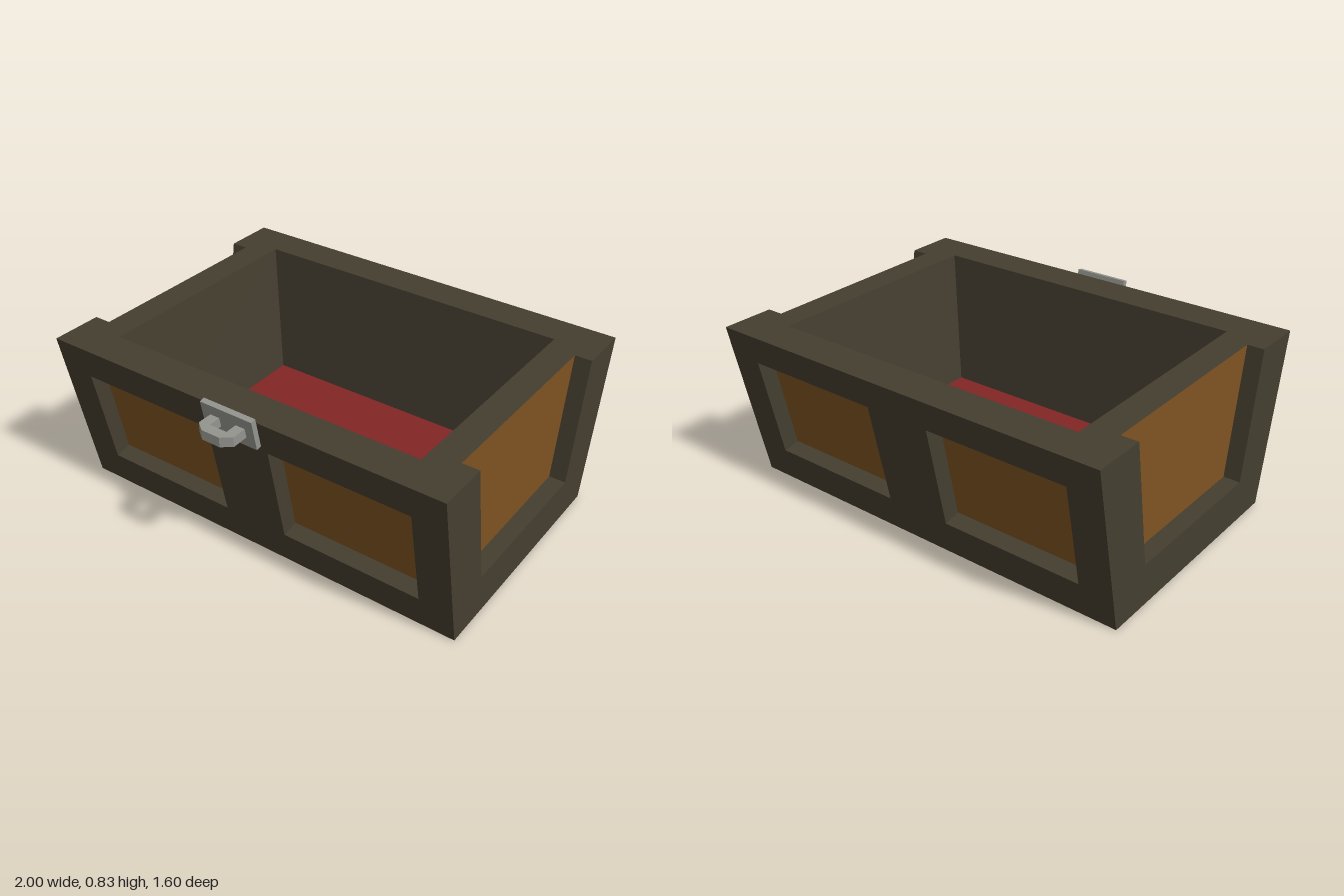
import * as THREE from 'three';

const material = (name, color, side = THREE.FrontSide) => {
  const m = new THREE.MeshStandardMaterial({ color, side });
  m.name = name;
  return m;
};
const V = (x, y, z) => new THREE.Vector3(x, y, z);

// Pushes a four-cornered face, turned so that it looks along `facing`
function quad(list, corners, facing) {
  let [a, b, c, d] = corners;
  const n = b.clone().sub(a).cross(c.clone().sub(a));
  if (n.dot(facing) < 0) [b, d] = [d, b];
  for (const p of [a, b, c, a, c, d]) list.push(p.x, p.y, p.z);
}

function facesMesh(name, list, mat) {
  const g = new THREE.BufferGeometry();
  g.setAttribute('position', new THREE.Float32BufferAttribute(list, 3));
  g.computeVertexNormals();
  const mesh = new THREE.Mesh(g, mat);
  mesh.name = name;
  return mesh;
}

const FRONT = { sign: 1, z0: 0.52, z1: 0.675, top: 0.81 };
const BACK = { sign: -1, z0: -0.64, z1: -0.8, top: 0.795 };
const DEPTH = 0.08;

// Height of the slightly sloping rim
const rimY = z => BACK.top + (FRONT.top - BACK.top) * (z - BACK.z1) / (FRONT.z1 - BACK.z1);

// Leaning front or back wall with two sunken panels
function longWall(w, frame, panel) {
  const lean = Math.atan2(Math.abs(w.z1 - w.z0), w.top);
  const normal = V(0, -Math.sin(lean), w.sign * Math.cos(lean));
  const at = (x, y, depth = 0) =>
    V(x, y, w.z0 + (w.z1 - w.z0) * y / w.top).addScaledVector(normal, -depth);
  const xs = [-1, -0.84, -0.16, 0.16, 0.84, 1], ys = [0, 0.165, 0.655, w.top];
  for (let i = 0; i < 5; i++) for (let j = 0; j < 3; j++) {
    const cell = [[xs[i], ys[j]], [xs[i + 1], ys[j]], [xs[i + 1], ys[j + 1]], [xs[i], ys[j + 1]]];
    if (j !== 1 || i % 2 === 0) {
      quad(frame, cell.map(p => at(...p)), normal);
      continue;
    }
    quad(panel, cell.map(p => at(...p, DEPTH)), normal);
    const middle = at((xs[i] + xs[i + 1]) / 2, (ys[1] + ys[2]) / 2, DEPTH / 2);
    cell.forEach((p, k) => {
      const q = cell[(k + 1) % 4];
      quad(frame, [at(...p), at(...q), at(...q, DEPTH), at(...p, DEPTH)], middle.clone().sub(at(...p)));
    });
  }
}

// Upright end wall with a sunken panel that is open at the top
function endWall(s, frame, panel) {
  const out = V(s, 0, 0);
  const at = (p, x) => V(s * x, p[1], p[0]);
  const f0 = [FRONT.z0, 0], f1 = [FRONT.z1, FRONT.top], b0 = [BACK.z0, 0], b1 = [BACK.z1, BACK.top];
  const nf0 = [0.33, 0.2], nf1 = [0.43, rimY(0.43)], nb0 = [-0.45, 0.2], nb1 = [-0.55, rimY(-0.55)];
  for (const face of [[f0, f1, nf1, nf0], [b0, b1, nb1, nb0], [f0, b0, nb0, nf0]])
    quad(frame, face.map(p => at(p, 1)), out);
  for (const [p, q, dir] of [[nf0, nf1, V(0, 0, -1)], [nb0, nb1, V(0, 0, 1)], [nf0, nb0, V(0, 1, 0)]])
    quad(frame, [at(p, 1), at(q, 1), at(q, 1 - DEPTH), at(p, 1 - DEPTH)], dir);
  quad(panel, [nf0, nf1, nb1, nb0].map(p => at(p, 1 - DEPTH)), out);
}

// Flat rim with side notches and the inner opening
function rim(mat) {
  const half = [[1, FRONT.z1], [1, 0.43], [1 - DEPTH, 0.43], [1 - DEPTH, -0.55], [1, -0.55], [1, BACK.z1]];
  const outline = [...half, ...half.map(([x, z]) => [-x, z]).reverse()];
  const shape = new THREE.Shape(outline.map(([x, z]) => new THREE.Vector2(x, -z)));
  shape.holes.push(new THREE.Path(
    [[-0.785, 0.5], [-0.785, -0.625], [0.785, -0.625], [0.785, 0.5]].map(([x, z]) => new THREE.Vector2(x, -z))));
  const g = new THREE.ShapeGeometry(shape).rotateX(-Math.PI / 2);
  const p = g.attributes.position;
  for (let i = 0; i < p.count; i++) p.setY(i, rimY(p.getZ(i)));
  g.computeVertexNormals();
  const mesh = new THREE.Mesh(g, mat);
  mesh.name = 'rim';
  return mesh;
}

// Metal plate with a chamfered loop
function latch(mat) {
  const group = new THREE.Group();
  group.name = 'latch';
  const plate = new THREE.Mesh(new THREE.BoxGeometry(0.265, 0.15, 0.026), mat);
  plate.name = 'latchPlate';
  plate.position.set(0, 0.755, 0.678);
  plate.rotation.x = Math.atan2(FRONT.z1 - FRONT.z0, FRONT.top);
  const shape = new THREE.Shape([
    [-0.088, 0.67], [-0.043, 0.67], [-0.043, 0.752], [0.043, 0.752], [0.043, 0.67], [0.088, 0.67],
    [0.09, 0.765], [0.045, 0.8], [-0.045, 0.8], [-0.09, 0.765],
  ].map(([x, z]) => new THREE.Vector2(x, z)));
  const loop = new THREE.Mesh(new THREE.ExtrudeGeometry(shape, { depth: 0.046, bevelEnabled: false }), mat);
  loop.name = 'latchLoop';
  loop.rotation.x = Math.PI / 2;
  loop.position.y = 0.775;
  group.add(plate, loop);
  return group;
}

export function createModel() {
  const darkWood = material('darkWood', 0x453e30);
  const panelWood = material('panelWood', 0x7f5322);
  const redCloth = material('redCloth', 0x832525);
  const metal = material('metal', 0x94948f);
  const model = new THREE.Group();
  model.name = 'openChest';

  // Outer walls and their panels
  for (const [name, build, arg] of [
    ['front', longWall, FRONT], ['back', longWall, BACK], ['left', endWall, 1], ['right', endWall, -1]]) {
    const frame = [], panel = [];
    build(arg, frame, panel);
    model.add(facesMesh(name + 'Frame', frame, darkWood), facesMesh(name + 'Panels', panel, panelWood));
  }

  // Underside
  const base = [];
  quad(base, [V(-1, 0, FRONT.z0), V(1, 0, FRONT.z0), V(1, 0, BACK.z0), V(-1, 0, BACK.z0)], V(0, -1, 0));
  model.add(facesMesh('underside', base, darkWood));

  // Tapered inside walls and lined floor
  const upper = [[-0.785, 0.5], [0.785, 0.5], [0.785, -0.625], [-0.785, -0.625]].map(([x, z]) => V(x, rimY(z), z));
  const lower = [[-0.715, 0.45], [0.715, 0.45], [0.715, -0.575], [-0.715, -0.575]].map(([x, z]) => V(x, 0.15, z));
  const inside = [], floor = [];
  upper.forEach((p, i) => {
    const k = (i + 1) % 4;
    quad(inside, [p, upper[k], lower[k], lower[i]], V(0, 0.4, -0.06).sub(p));
  });
  quad(floor, lower, V(0, 1, 0));
  model.add(facesMesh('insideWalls', inside, darkWood), facesMesh('insideFloor', floor, redCloth));

  model.add(rim(darkWood), latch(metal));
  return model;
}
